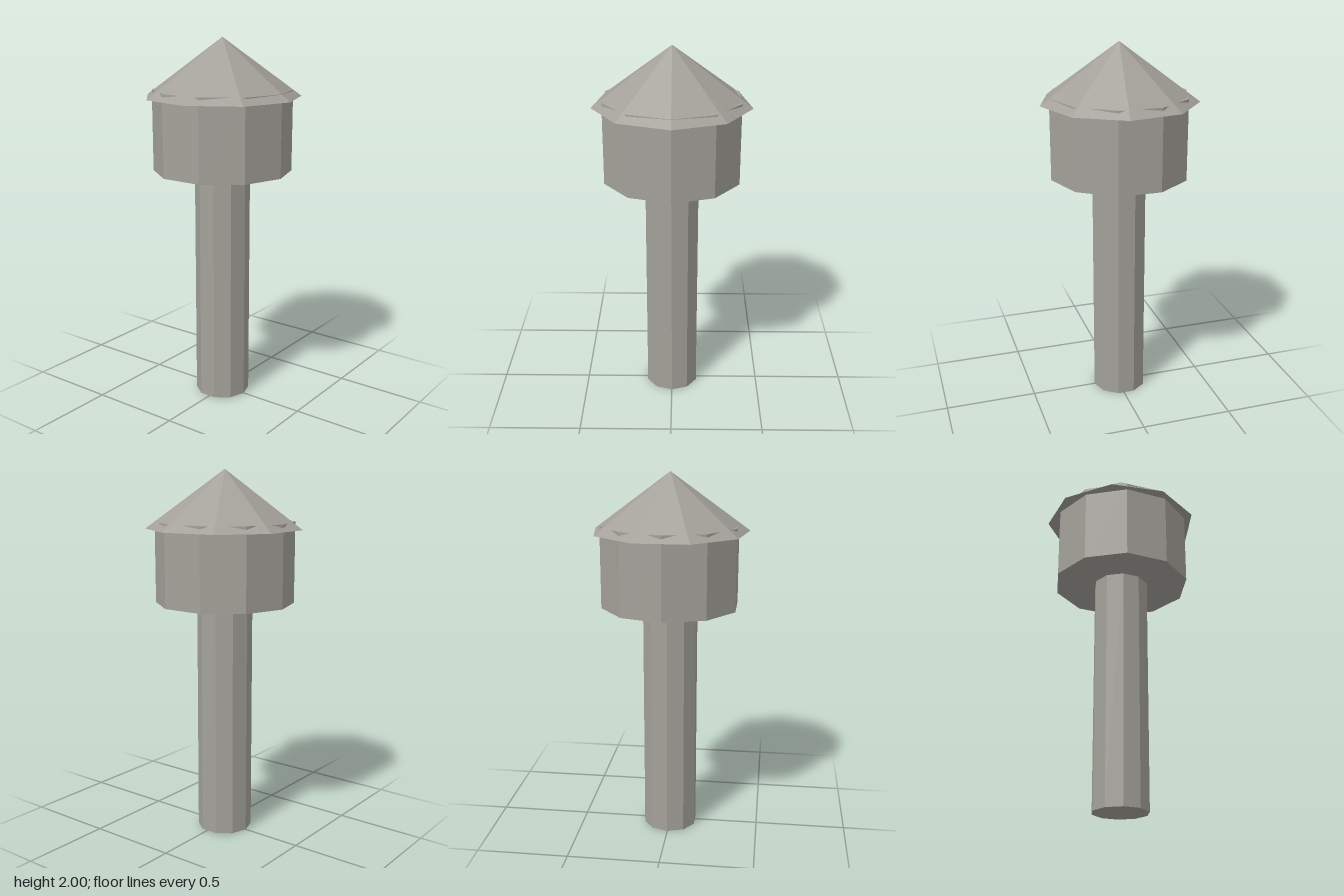
import * as THREE from 'three';

export function createModel() {
  const model = new THREE.Group();
  model.name = 'post';
  const stone = new THREE.MeshStandardMaterial({ color: 0xa3a199, flatShading: true });
  stone.name = 'warm grey stone';

  // Faceted prism or cone with its first corner pointing along +x
  const addPart = (name, topRadius, bottomRadius, bottom, top, sides) => {
    const geometry = new THREE.CylinderGeometry(
      topRadius, bottomRadius, top - bottom, sides, 1, false, Math.PI / 2);
    const mesh = new THREE.Mesh(geometry, stone);
    mesh.name = name;
    mesh.position.set(-0.013, (bottom + top) / 2, 0);
    model.add(mesh);
  };

  addPart('shaft', 0.15, 0.15, 0, 1.29, 10);
  // The drum's corners poke slightly through the cap
  addPart('drum', 0.375, 0.375, 1.29, 1.727, 10);
  addPart('cap', 0, 0.424, 1.69, 2, 9);

  return model;
}
